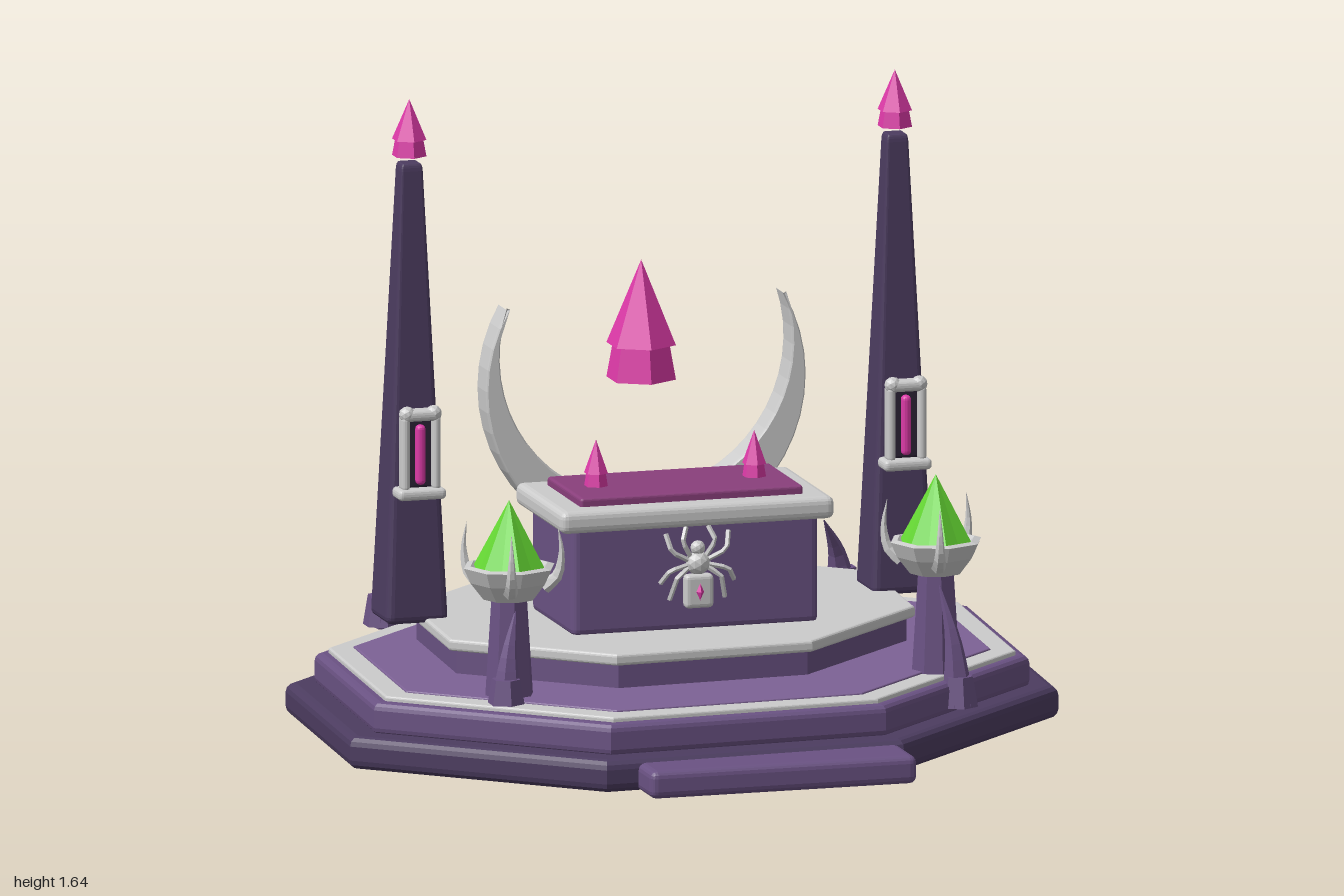
import * as THREE from 'three';
import { RoundedBoxGeometry } from 'three/addons/geometries/RoundedBoxGeometry.js';

const mat = (color) => new THREE.MeshStandardMaterial({ color, flatShading: true });
const STONE = mat(0xcccccc), DARK = mat(0x4c3c60), PURPLE = mat(0x6a5283), FLOOR = mat(0x7d6295);
const PINK = mat(0xdd3aa8), CLOTH = mat(0x8a3f7c), GREEN = mat(0x66d934), BLACK = mat(0x2c2336);

// Lopsided octagon shared by every tier, as [x, z]
const OCTAGON = [[-0.37, -0.865], [0.45, -0.905], [1, -0.415], [0.957, 0.31],
  [0.37, 0.865], [-0.45, 0.905], [-1, 0.415], [-0.957, -0.31]];

function add(parent, name, geometry, material, x = 0, y = 0, z = 0) {
  const mesh = new THREE.Mesh(geometry, material);
  mesh.name = name;
  mesh.position.set(x, y, z);
  parent.add(mesh);
  return mesh;
}

function group(parent, name, x = 0, y = 0, z = 0) {
  const g = new THREE.Group();
  g.name = name;
  g.position.set(x, y, z);
  parent.add(g);
  return g;
}

const box = (w, h, d, r = 0.012) => new RoundedBoxGeometry(w, h, d, 2, r);

// Bevelled octagonal slab between two heights
function tier(parent, name, sx, sz, y0, y1, cz, bevel, material) {
  const shape = new THREE.Shape(OCTAGON.map(([x, z]) => new THREE.Vector2(x * sx, -z * sz)));
  const geo = new THREE.ExtrudeGeometry(shape, {
    depth: y1 - y0 - 2 * bevel, bevelEnabled: true, bevelSize: bevel,
    bevelThickness: bevel, bevelOffset: -bevel, bevelSegments: 3,
  });
  geo.rotateX(-Math.PI / 2);
  add(parent, name, geo, material, 0, y0 + bevel, cz);
}

// Curved spike: a tube whose rings shrink towards the tip
function horn(parent, name, points, radius, material, sides = 6) {
  const curve = new THREE.CatmullRomCurve3(points.map((p) => new THREE.Vector3(...p)));
  const steps = 8;
  const geo = new THREE.TubeGeometry(curve, steps, radius, sides, false);
  const pos = geo.attributes.position, v = new THREE.Vector3();
  for (let i = 0; i < pos.count; i++) {
    const t = Math.floor(i / (sides + 1)) / steps;
    const c = curve.getPointAt(t);
    v.fromBufferAttribute(pos, i).sub(c).multiplyScalar(1 - 0.97 * t).add(c);
    pos.setXYZ(i, v.x, v.y, v.z);
  }
  add(parent, name, geo, material);
}

// Hexagonal crystal: flared foot below a pointed cap
function crystal(parent, name, r, h, x, y, z) {
  const g = group(parent, name, x, y, z), foot = h * 0.29;
  add(g, 'crystalFoot', new THREE.CylinderGeometry(r * 0.82, r, foot, 6), PINK, 0, foot / 2);
  add(g, 'crystalCap', new THREE.ConeGeometry(r, h - foot, 6), PINK, 0, foot + (h - foot) / 2);
}

function addPillar(root, side) {
  const g = group(root, side > 0 ? 'leftPillar' : 'rightPillar', side * 0.66, 0, -0.24);
  // Square obelisk, tapered upwards
  const h = 1.213, geo = box(0.17, h, 0.165, 0.02), pos = geo.attributes.position;
  for (let i = 0; i < pos.count; i++) {
    const k = 1 - 0.66 * (pos.getY(i) / h + 0.5);
    pos.setX(i, pos.getX(i) * k);
    pos.setZ(i, pos.getZ(i) * k);
  }
  add(g, 'obelisk', geo, DARK, 0, 0.265 + h / 2);
  crystal(g, 'finial', 0.046, 0.15, 0, 1.495, 0);
  // Framed lantern on the front face
  const lamp = group(g, 'lantern', 0, 0, 0.09);
  add(lamp, 'lanternBack', box(0.09, 0.2, 0.03), BLACK, 0, 0.725, -0.01);
  add(lamp, 'lanternGlow', box(0.026, 0.16, 0.03), PINK, 0, 0.72, 0.01);
  for (const s of [-1, 1]) {
    add(lamp, 'lanternPost', box(0.022, 0.2, 0.045), STONE, s * 0.042, 0.725, 0.005);
    add(lamp, 'lanternKnob', new THREE.IcosahedronGeometry(0.022, 1), STONE, s * 0.036, 0.828, 0.01);
  }
  add(lamp, 'lanternLintel', box(0.1, 0.03, 0.05), STONE, 0, 0.825, 0.005);
  add(lamp, 'lanternShelf', box(0.13, 0.03, 0.075), STONE, 0, 0.617, 0);
}

function addBrazier(root, side, angles) {
  const g = group(root, side > 0 ? 'leftBrazier' : 'rightBrazier', side * 0.58, 0, 0.395);
  add(g, 'brazierPost', new THREE.CylinderGeometry(0.048, 0.066, 0.28, 8), PURPLE, 0, 0.305);
  // Faceted bowl with a hollow rim
  const profile = [[0, 0.44], [0.07, 0.44], [0.105, 0.485], [0.123, 0.525], [0.105, 0.53], [0.08, 0.505], [0, 0.5]];
  const bowl = new THREE.LatheGeometry(profile.map((p) => new THREE.Vector2(...p)), 8);
  add(g, 'bowl', bowl, STONE);
  // Flame crystal with an alternating star outline
  const flame = new THREE.ConeGeometry(0.105, 0.195, 12, 1), pos = flame.attributes.position;
  for (let i = 0; i < pos.count; i++) {
    const a = Math.atan2(pos.getX(i), pos.getZ(i));
    const k = Math.round(a / (Math.PI / 6)) % 2 ? 0.84 : 1;
    pos.setX(i, pos.getX(i) * k);
    pos.setZ(i, pos.getZ(i) * k);
  }
  add(g, 'flameCrystal', flame, GREEN, 0, 0.6025);
  // Talons gripping the bowl
  for (const deg of angles) {
    const a = THREE.MathUtils.degToRad(deg);
    const at = (r, y) => [Math.sin(a) * r, y, Math.cos(a) * r];
    horn(g, 'talon', [at(0.09, 0.47), at(0.125, 0.5), at(0.137, 0.56), at(0.128, 0.63)], 0.02, STONE);
  }
}

function addClaw(root, base, tip, r) {
  const mid = base.map((b, i) => b + (tip[i] - b) * (i === 1 ? 0.55 : 0.3));
  const g = group(root, 'floorClaw');
  horn(g, 'clawSpike', [base, mid, tip], r, PURPLE);
  add(g, 'clawFoot', new THREE.CylinderGeometry(r * 0.85, r * 1.15, 0.08, 6), PURPLE, base[0], base[1] + 0.04, base[2]);
}

function addSpider(root) {
  const g = group(root, 'spiderOrnament', 0, 0, 0.165);
  add(g, 'abdomen', box(0.078, 0.09, 0.035), STONE, 0, 0.382, 0.012);
  add(g, 'abdomenGem', new THREE.OctahedronGeometry(0.02).scale(0.6, 1.3, 0.6), PINK, 0, 0.382, 0.028);
  add(g, 'thorax', new THREE.IcosahedronGeometry(0.032, 1), STONE, 0, 0.455, 0.008);
  add(g, 'head', new THREE.IcosahedronGeometry(0.02, 1), STONE, 0, 0.495, 0.008);
  // Four bent legs on each side: [knee x, knee y, foot x, foot y]
  const legs = [[0.045, 0.515, 0.03, 0.55], [0.075, 0.49, 0.085, 0.535], [0.08, 0.44, 0.1, 0.405], [0.06, 0.42, 0.075, 0.36]];
  for (const s of [-1, 1]) {
    for (const [kx, ky, fx, fy] of legs) {
      const path = new THREE.CurvePath();
      const p = [[0.01, 0.455, 0.005], [kx, ky, 0.02], [fx, fy, 0]].map(([x, y, z]) => new THREE.Vector3(s * x, y, z));
      path.add(new THREE.LineCurve3(p[0], p[1]));
      path.add(new THREE.LineCurve3(p[1], p[2]));
      add(g, 'spiderLeg', new THREE.TubeGeometry(path, 6, 0.007, 5), STONE);
    }
  }
}

export function createModel() {
  const root = new THREE.Group();
  root.name = 'altarShrine';

  // Stepped platform
  tier(root, 'baseTier', 1, 1, 0, 0.087, -0.06, 0.025, DARK);
  add(root, 'frontStep', box(0.725, 0.075, 0.4, 0.02), PURPLE, 0, 0.0375, 0.757);
  tier(root, 'middleTier', 0.925, 0.92, 0.08, 0.167, -0.06, 0.02, PURPLE);
  tier(root, 'middleTrim', 0.89, 0.885, 0.155, 0.18, -0.06, 0.006, STONE);
  tier(root, 'middleFloor', 0.825, 0.815, 0.165, 0.185, -0.06, 0.004, FLOOR);
  tier(root, 'upperTier', 0.635, 0.62, 0.175, 0.255, -0.155, 0.01, PURPLE);
  tier(root, 'upperSlab', 0.657, 0.64, 0.247, 0.278, -0.155, 0.008, STONE);

  // Altar
  const altar = group(root, 'altar', 0, 0, -0.032);
  add(altar, 'altarBody', box(0.67, 0.3, 0.375, 0.02), PURPLE, 0, 0.42);
  add(altar, 'altarTop', box(0.745, 0.06, 0.425, 0.02), STONE, 0, 0.58);
  add(altar, 'altarCloth', box(0.605, 0.035, 0.305, 0.008), CLOTH, 0, 0.615);
  for (const s of [-1, 1]) crystal(altar, 'altarCrystal', 0.032, 0.125, s * 0.215, 0.63, 0);
  addSpider(root);

  // Crescent standing on a pedestal behind the altar
  add(root, 'crescentPedestal', new THREE.CylinderGeometry(0.095, 0.125, 0.175, 8), PURPLE, 0, 0.355, -0.34);
  const tip = [0.375, 1.06], outer = 0.84, inner = 0.93;
  const ao = Math.atan2(tip[1] - outer, tip[0]), ai = Math.atan2(tip[1] - inner, tip[0]);
  const moon = new THREE.Shape();
  moon.absarc(0, outer, 0.43, ao, Math.PI - ao, true);
  moon.absarc(0, inner, 0.402, Math.PI - ai, ai, false);
  moon.closePath();
  const moonGeo = new THREE.ExtrudeGeometry(moon, {
    depth: 0.07, curveSegments: 16, bevelSize: 0.005, bevelThickness: 0.01, bevelSegments: 2,
  });
  add(root, 'crescent', moonGeo, STONE, 0, 0, -0.37);
  crystal(root, 'floatingCrystal', 0.093, 0.315, 0, 0.845, -0.338);

  // Flanking pillars, braziers and claws
  for (const s of [-1, 1]) {
    addPillar(root, s);
    addBrazier(root, s, s > 0 ? [-12, 125, -115] : [70, 223, -14]);
    addClaw(root, [s * 0.625, 0.175, -0.6], [s * 0.55, 0.4, -0.515], 0.045);
    addClaw(root, [s * 0.615, s > 0 ? 0.1 : 0.165, 0.485], [s * 0.575, 0.42, 0.44], 0.045);
  }
  return root;
}
